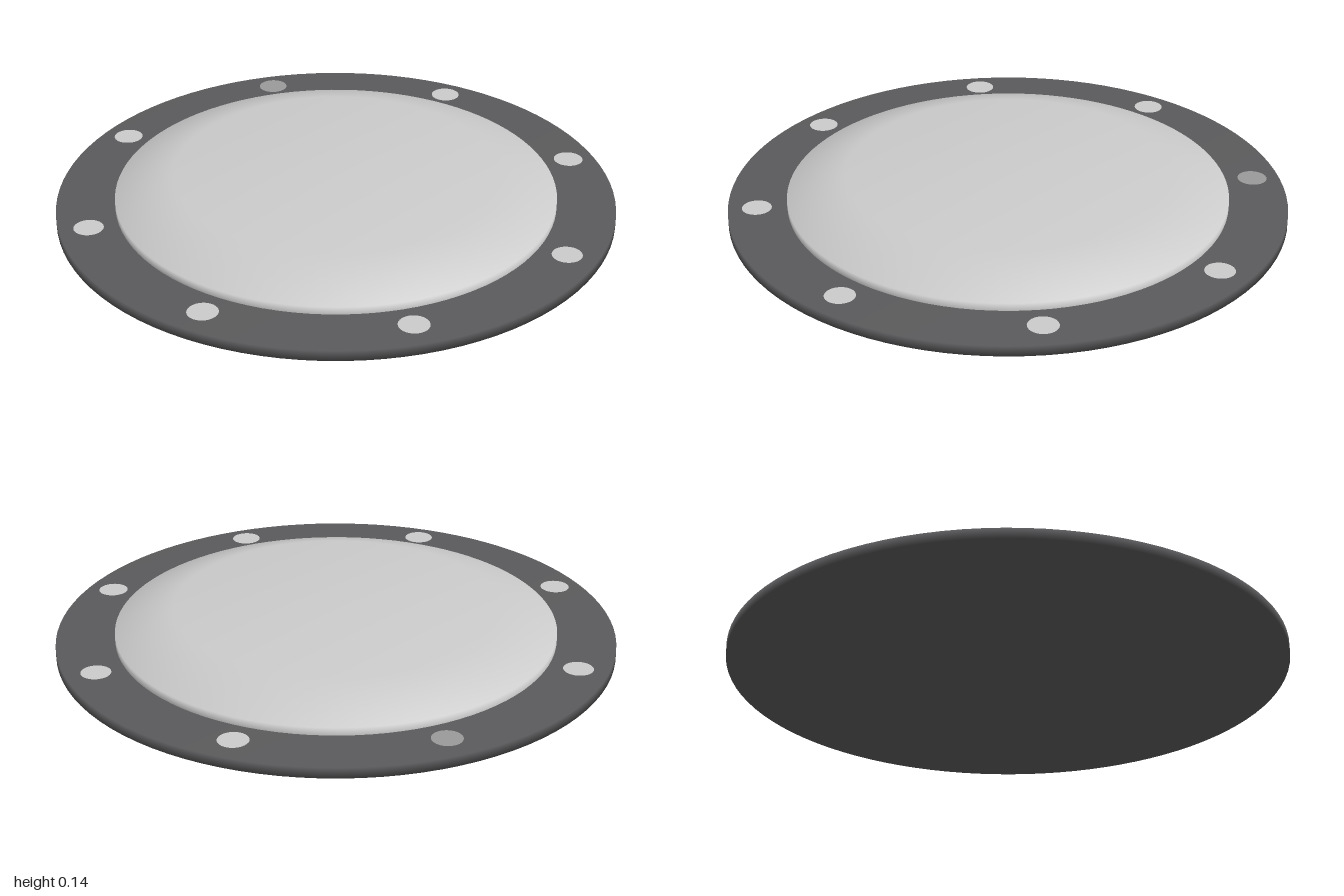
import * as THREE from 'three';

const points = (list) => list.map(([x, y]) => new THREE.Vector2(x, y));

export function createModel() {
  const model = new THREE.Group();
  model.name = 'portCover';
  const dark = new THREE.MeshStandardMaterial({ color: 0x5a5a5c });
  const light = new THREE.MeshStandardMaterial({ color: 0xcccccc, side: THREE.DoubleSide });
  const marked = new THREE.MeshStandardMaterial({ color: 0x9a9a9a, side: THREE.DoubleSide });

  const add = (name, geometry, material) => {
    const mesh = new THREE.Mesh(geometry, material);
    mesh.name = name;
    model.add(mesh);
    return mesh;
  };

  // Thin dark disc with softly shaded rim
  add('flange', new THREE.LatheGeometry(
    points([[0, 0], [1, 0], [1, 0.038], [0, 0.038]]), 96), dark);

  // Raised lid with a short wall, sloped shoulder and flat top
  add('lid', new THREE.LatheGeometry(
    points([[0.79, 0.036], [0.79, 0.066], [0.58, 0.14], [0, 0.14]]), 96), light);

  // Flat bolt heads just above the flange; the rear one is darker
  const head = new THREE.CircleGeometry(0.053, 32).rotateX(-Math.PI / 2);
  for (let i = 0; i < 8; i++) {
    const a = (i * Math.PI) / 4;
    add('boltHead' + (i + 1), head, i === 4 ? marked : light)
      .position.set(0.897 * Math.sin(a), 0.047, 0.897 * Math.cos(a));
  }
  return model;
}
